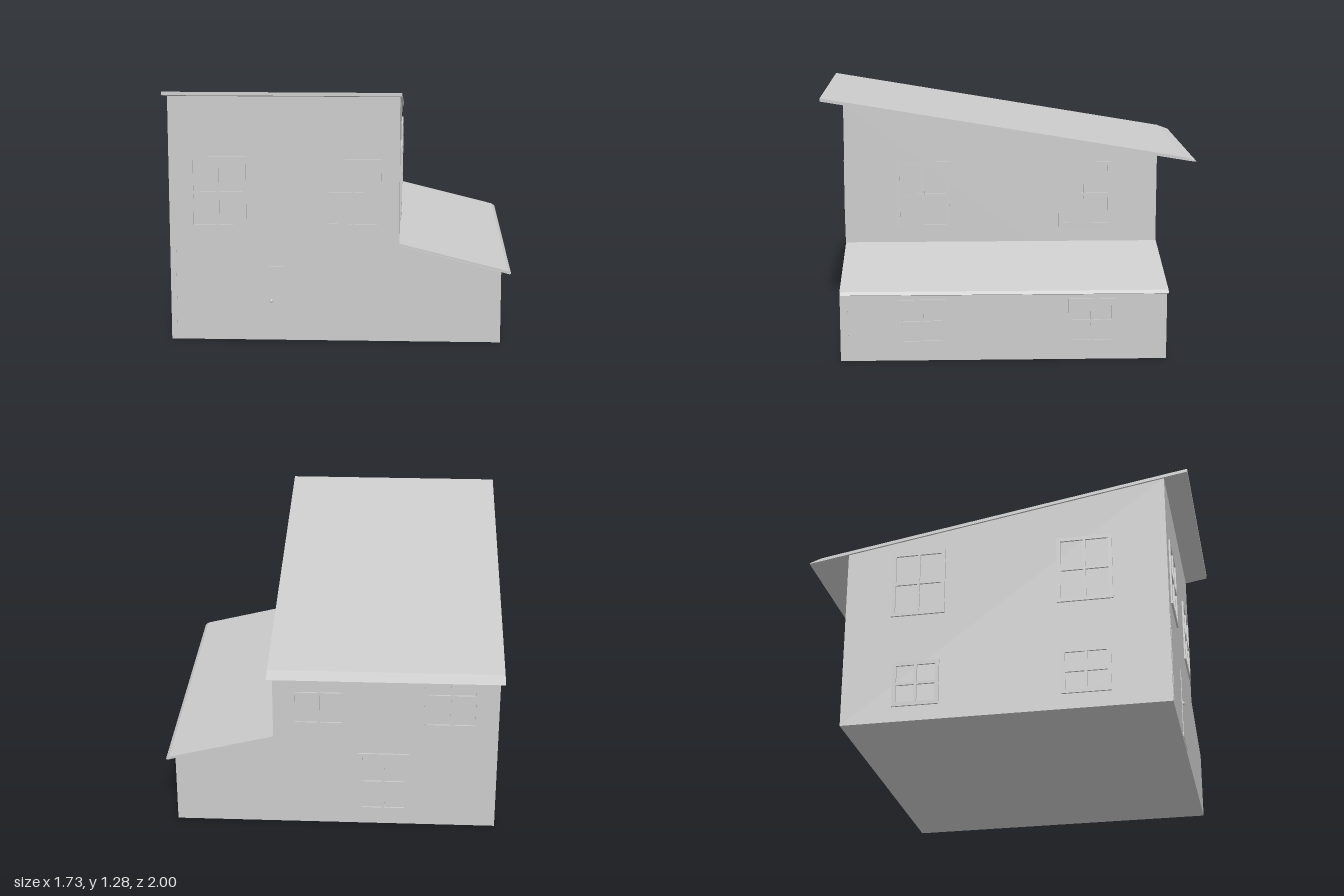
import * as THREE from 'three';

const grey = new THREE.MeshStandardMaterial({ color: 0xcccccc, flatShading: true });

function polygon(points) {
  return new THREE.Shape(points.map(([a, b]) => new THREE.Vector2(a, b)));
}

function rect(x0, y0, x1, y1) {
  return [[x0, y0], [x1, y0], [x1, y1], [x0, y1]];
}

function extrude(shape, depth) {
  return new THREE.ExtrudeGeometry(shape, { depth, bevelEnabled: false });
}

// Profile given as (z, y), swept along x from x0 to x1
function alongX(points, x0, x1) {
  return extrude(polygon(points), x1 - x0).rotateY(-Math.PI / 2).translate(x1, 0, 0);
}

// Profile given as (x, y), swept along z from z0 to z1
function alongZ(points, z0, z1) {
  return extrude(polygon(points), z1 - z0).translate(0, 0, z0);
}

function box(x0, x1, y0, y1, z0, z1) {
  return new THREE.BoxGeometry(x1 - x0, y1 - y0, z1 - z0)
    .translate((x0 + x1) / 2, (y0 + y1) / 2, (z0 + z1) / 2);
}

// Raised window frame with four openings, facing +z
function windowFrame(w, h) {
  const rim = 0.02, bar = 0.007;
  const shape = polygon(rect(-w / 2, -h / 2, w / 2, h / 2));
  for (const sx of [-1, 1]) {
    for (const sy of [-1, 1]) {
      const xs = [sx * bar, sx * (w / 2 - rim)].sort((a, b) => a - b);
      const ys = [sy * bar, sy * (h / 2 - rim)].sort((a, b) => a - b);
      shape.holes.push(polygon(rect(xs[0], ys[0], xs[1], ys[1])));
    }
  }
  return extrude(shape, 0.011).translate(0, 0, -0.002);
}

export function createModel() {
  const house = new THREE.Group();
  house.name = 'house';
  const add = (name, geometry) => {
    const mesh = new THREE.Mesh(geometry, grey);
    mesh.name = name;
    house.add(mesh);
    return mesh;
  };

  const left = -0.855, right = 0.3, wing = 0.812, front = 0.878, back = -0.788;

  // Two-storey block with a sloping top
  add('mainWalls', alongX([[back, 0], [front, 0], [front, 1.249], [back, 0.971]], left, right));

  // Single-storey side wing
  add('wingWalls', alongZ([[right, 0], [wing, 0], [wing, 0.366], [right, 0.496]], back, front));

  // Roofs, each thinning to a lip at the low eave
  add('mainRoof', alongX(
    [[1, 1.285], [-0.935, 0.962], [-1, 0.938], [-0.99, 0.936], [1, 1.268]].reverse(),
    -0.865, 0.31));
  add('wingRoof', alongZ(
    [[right, 0.495], [0.815, 0.364], [0.855, 0.353], [0.862, 0.357], [0.845, 0.371], [right, 0.506]],
    -0.79, 0.872));

  // Windows: x, y, z, width, height, turn about y
  const F = 0, R = Math.PI / 2, B = Math.PI, L = -Math.PI / 2;
  const windows = [
    [-0.61, 0.762, front, 0.285, 0.365, F],
    [0.068, 0.762, front, 0.28, 0.35, F],
    [right, 0.762, 0.462, 0.285, 0.365, R],
    [right, 0.762, -0.405, 0.28, 0.35, R],
    [wing, 0.202, 0.46, 0.24, 0.236, R],
    [wing, 0.202, -0.405, 0.24, 0.236, R],
    [left, 0.765, 0.458, 0.285, 0.365, L],
    [left, 0.765, -0.405, 0.28, 0.365, L],
    [left, 0.2, 0.458, 0.25, 0.24, L],
    [left, 0.2, -0.405, 0.24, 0.24, L],
    [-0.615, 0.76, back, 0.28, 0.365, B],
    [0.065, 0.76, back, 0.28, 0.365, B],
    [-0.27, 0.25, back, 0.26, 0.34, B],
  ];
  for (const [x, y, z, w, h, turn] of windows) {
    const frame = add('windowFrame', windowFrame(w, h));
    frame.position.set(x, y, z);
    frame.rotation.y = turn;
  }

  // Front door with a round knob
  add('frontDoor', box(-0.37, -0.165, 0.015, 0.385, front - 0.01, front + 0.003));
  add('doorKnob', new THREE.SphereGeometry(0.009, 12, 8).translate(-0.345, 0.205, front + 0.005));

  // Narrow corner trims
  add('frontTrim', box(-0.831, -0.825, 0.02, 0.48, front - 0.01, front + 0.002));
  add('wingTrim', box(wing - 0.01, wing + 0.002, 0.02, 0.352, 0.838, 0.844));

  return house;
}
